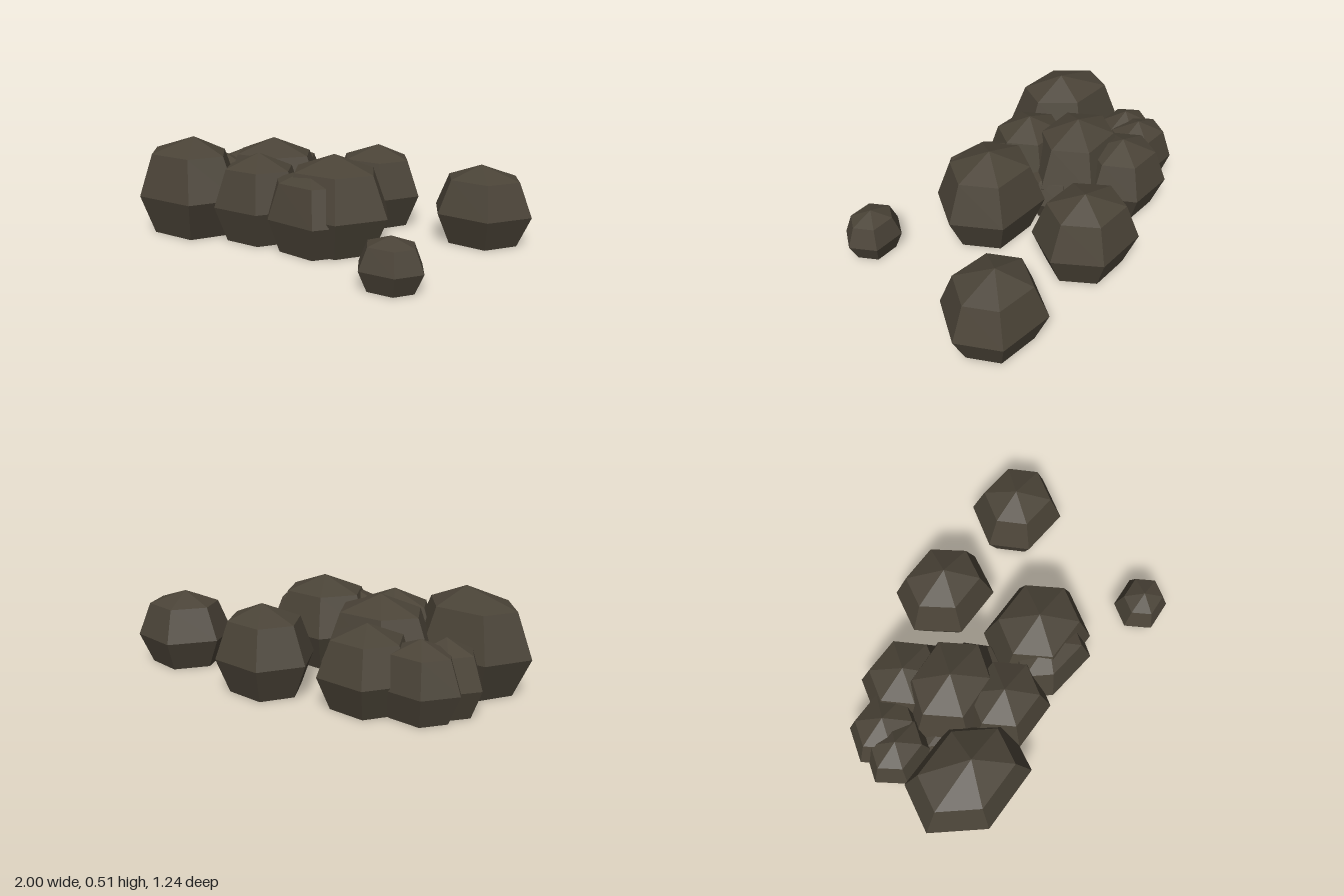
import * as THREE from 'three';

// A six-sided boulder: flat base, widest ring, upper ring and a low pointed cap.
// skew shifts the back edge sideways against the front; slope angles both edges.
function rockGeometry(x, z, halfWidth, halfDepth, height, skew, slope) {
  const corner = halfWidth * 0.53;
  const outline = [];
  for (const side of [-1, 1]) {
    // side -1: left point and back edge, side 1: right point and front edge
    outline.push([side * halfWidth, 0]);
    for (const end of [1, -1]) {
      const dx = side * end * corner;
      outline.push([dx - side * skew, side * halfDepth + slope * dx]);
    }
  }
  const ring = (y, scale) => outline.map(([dx, dz]) => [x + dx * scale, y, z + dz * scale]);
  const rings = [ring(0, 0.73), ring(height * 0.4, 1), ring(height * 0.83, 0.73)];
  const base = [x, 0, z];
  const apex = [x - skew, height, z];
  const positions = [];
  const triangle = (a, b, c) => positions.push(...a, ...b, ...c);

  for (let i = 0; i < 6; i++) {
    const j = (i + 1) % 6;
    for (let r = 0; r < 2; r++) {
      const low = rings[r], high = rings[r + 1];
      triangle(low[i], high[i], high[j]);
      triangle(low[i], high[j], low[j]);
    }
    triangle(rings[2][i], apex, rings[2][j]);
    triangle(rings[0][i], rings[0][j], base);
  }

  const geometry = new THREE.BufferGeometry();
  geometry.setAttribute('position', new THREE.Float32BufferAttribute(positions, 3));
  geometry.computeVertexNormals();
  return geometry;
}

export function createModel() {
  const group = new THREE.Group();
  group.name = 'rockPile';
  const stone = new THREE.MeshStandardMaterial({ color: 0x4a4337, flatShading: true });
  stone.name = 'dark stone';

  const addRock = (name, ...shape) => {
    const rock = new THREE.Mesh(rockGeometry(...shape), stone);
    rock.name = name;
    group.add(rock);
  };

  // Clustered boulders: x, z, half width, half depth, height, skew, slope
  addRock('frontLeftBoulder', -0.66, 0.32, 0.34, 0.235, 0.515, -0.04, 0);
  addRock('centreBoulder', -0.345, -0.02, 0.31, 0.22, 0.49, 0, -0.06);
  addRock('frontRightBoulder', 0.175, 0.15, 0.31, 0.235, 0.48, 0, 0);
  addRock('frontMiddleBoulder', -0.24, 0.235, 0.26, 0.2, 0.455, 0, 0);
  addRock('smallFrontBoulder', 0.105, 0.26, 0.28, 0.17, 0.42, 0, 0.12);
  addRock('backLeftBoulder', -0.445, -0.25, 0.255, 0.205, 0.41, 0, 0);
  addRock('leftRearRock', -0.7, -0.18, 0.22, 0.16, 0.37, 0, 0);
  addRock('leftRock', -0.755, -0.055, 0.2, 0.14, 0.36, 0, 0);

  // Low rocks filling the middle of the cluster
  addRock('buriedRock', -0.38, 0.06, 0.38, 0.2, 0.25, 0, 0);
  addRock('innerRock', -0.17, 0, 0.18, 0.16, 0.27, 0, 0);

  // Separate boulders around the cluster
  addRock('backMiddleBoulder', 0.08, -0.405, 0.275, 0.215, 0.44, -0.015, 0);
  addRock('backRightBoulder', 0.735, -0.39, 0.265, 0.21, 0.4, 0.015, 0.08);
  addRock('loosePebble', 0.703, 0.493, 0.163, 0.122, 0.24, 0, -0.05);
  return group;
}
